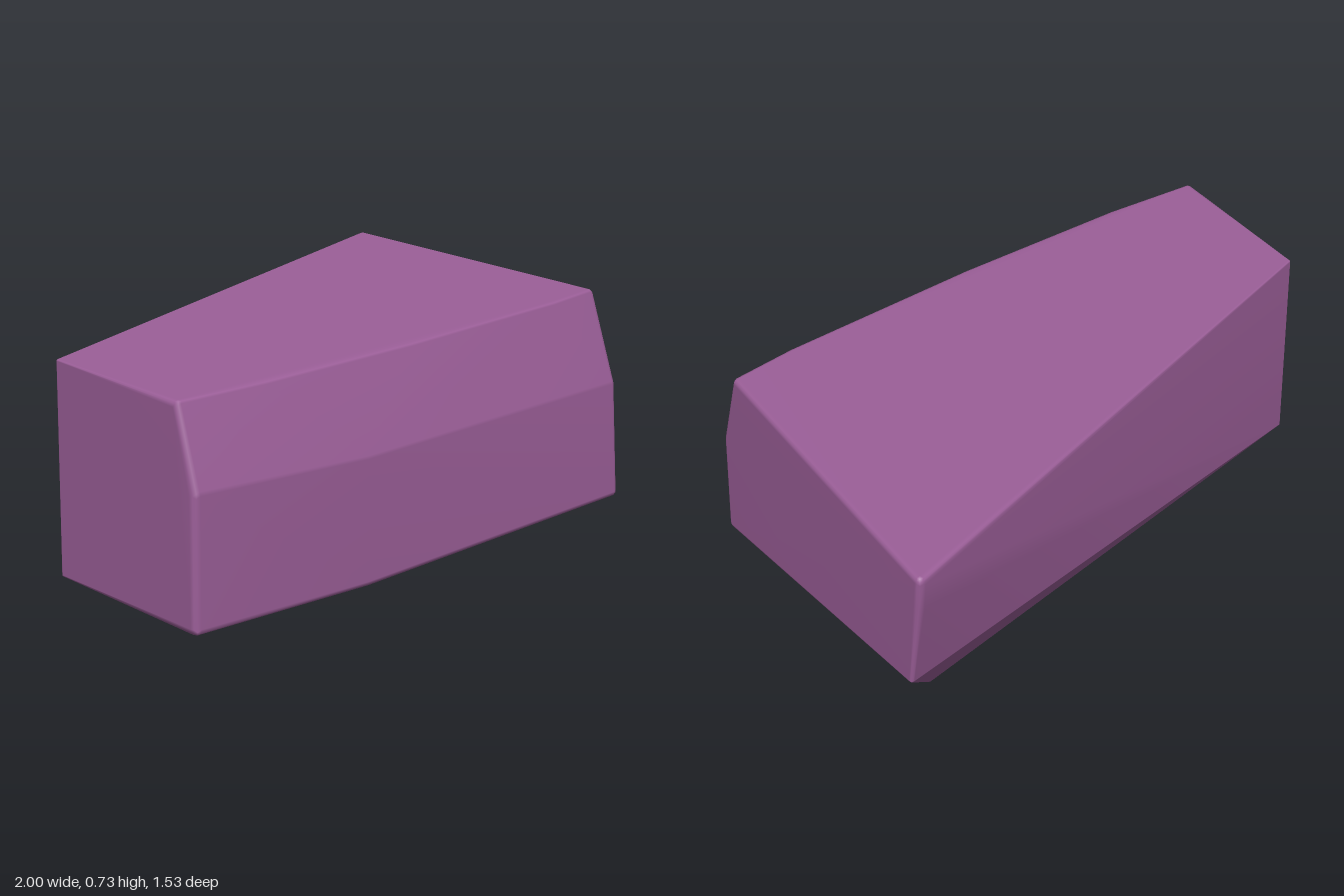
import * as THREE from 'three';
import { ConvexGeometry } from 'three/addons/geometries/ConvexGeometry.js';
import { mergeVertices } from 'three/addons/utils/BufferGeometryUtils.js';

// Corners of the block: x, y, z, rounding radius
const CORNERS = [
  // front, bottom rim
  [-1, 0, 0.765, 0.025], [-0.3, 0, 0.76, 0.02], [1, 0, 0.62, 0.02],
  // front, belly line
  [-1, 0.45, 0.765, 0.025], [-0.3, 0.43, 0.757, 0.02], [1, 0.41, 0.59, 0.02],
  // front, top rim
  [-1, 0.73, 0.685, 0.02], [-0.65, 0.73, 0.68, 0.02], [0, 0.73, 0.625, 0.02],
  [0.75, 0.73, 0.525, 0.02], [1, 0.73, 0.475, 0.02],
  // back, narrow end
  [-1, 0, 0.05, 0.006], [-1, 0.73, 0.05, 0.006],
  // back, wide end with the undercut lower corner
  [1, 0.73, -0.77, 0.02], [1, 0.6, -0.755, 0.02],
  [0.995, 0.265, -0.695, 0.01], [0.81, 0, -0.475, 0.008],
];

// Hull around a small ball tucked inside each corner
function roundedHull(corners) {
  const ball = mergeVertices(new THREE.IcosahedronGeometry(1, 1).deleteAttribute('uv').deleteAttribute('normal'));
  const pos = ball.attributes.position;
  const inset = (v, lo, hi, r) => Math.min(Math.max(v, lo + r), hi - r);
  const points = [];
  for (const [x, y, z, r] of corners) {
    const centre = new THREE.Vector3(inset(x, -1, 1, r), inset(y, 0, 0.73, r), z - Math.sign(z - 0.06) * r);
    for (let i = 0; i < pos.count; i++) {
      points.push(new THREE.Vector3().fromBufferAttribute(pos, i).multiplyScalar(r).add(centre));
    }
  }
  const hull = new ConvexGeometry(points);
  hull.deleteAttribute('normal');
  const smooth = mergeVertices(hull, 1e-5);
  smooth.computeVertexNormals();
  return smooth;
}

export function createModel() {
  const group = new THREE.Group();
  group.name = 'wedgeBlock';
  const body = new THREE.Mesh(roundedHull(CORNERS), new THREE.MeshStandardMaterial({ color: 0x9c5f99 }));
  body.name = 'body';
  group.add(body);
  return group;
}
